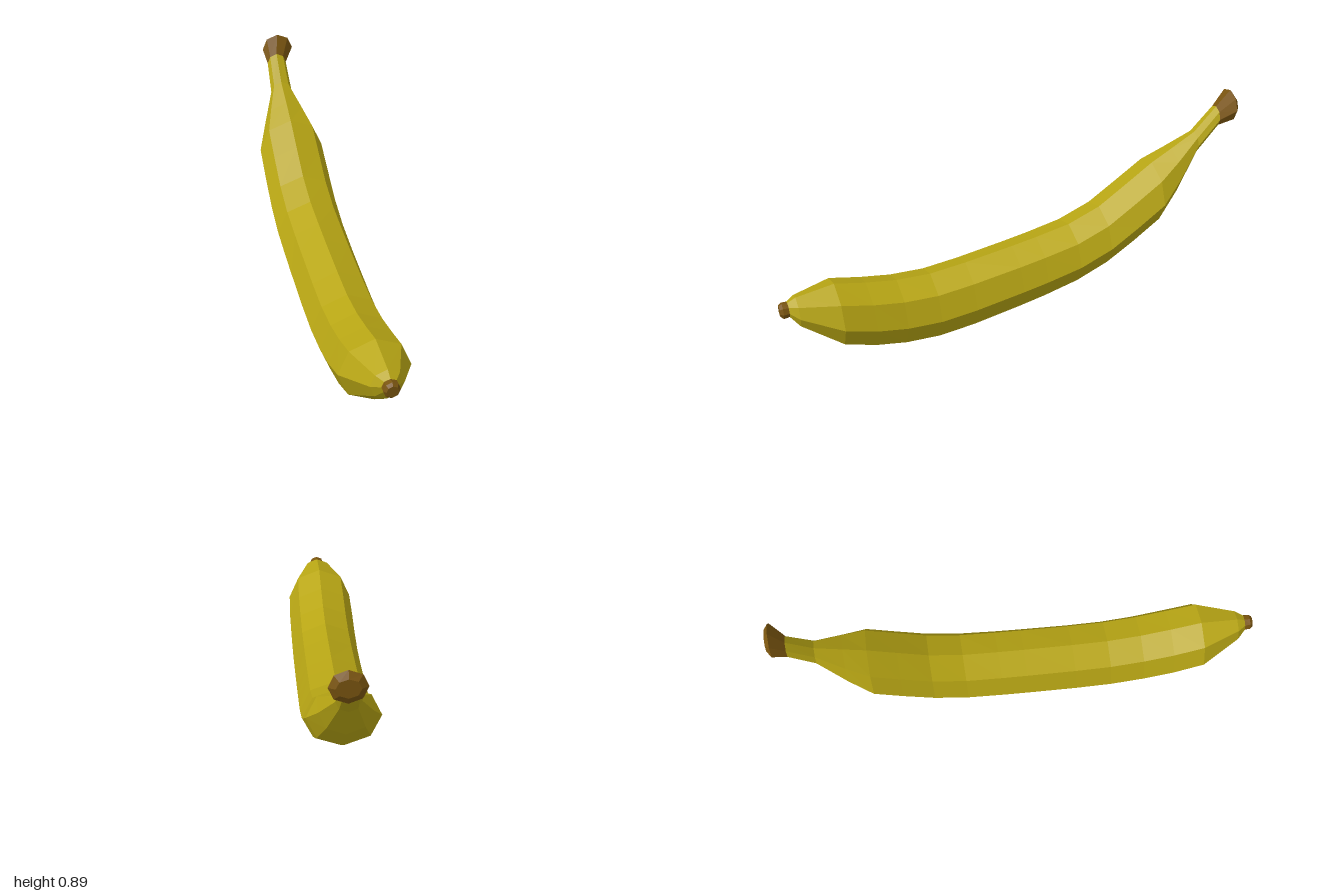
import * as THREE from 'three';

const SIDES = 8;

// Skin through octagonal rings [z, topY, bottomY, halfWidth, centreX], ordered front to back
function loft(rings, color, name, capFront, capBack) {
  const pos = [], index = [];
  for (const [z, top, bottom, halfWidth, cx = 0] of rings) {
    for (let i = 0; i < SIDES; i++) {
      const a = (i / SIDES) * Math.PI * 2;
      pos.push(cx + Math.cos(a) * halfWidth, (top + bottom) / 2 + (Math.sin(a) * (top - bottom)) / 2, z);
    }
  }
  for (let r = 0; r < rings.length - 1; r++) {
    for (let i = 0; i < SIDES; i++) {
      const j = (i + 1) % SIDES;
      const a = r * SIDES + i, b = r * SIDES + j;
      index.push(a, a + SIDES, b, b, a + SIDES, b + SIDES);
    }
  }
  // flat end caps
  const last = (rings.length - 1) * SIDES;
  for (let i = 1; i < SIDES - 1; i++) {
    if (capFront) index.push(0, i, i + 1);
    if (capBack) index.push(last, last + i + 1, last + i);
  }
  const geometry = new THREE.BufferGeometry();
  geometry.setAttribute('position', new THREE.Float32BufferAttribute(pos, 3));
  geometry.setIndex(index);
  geometry.computeVertexNormals();
  const mesh = new THREE.Mesh(geometry, new THREE.MeshStandardMaterial({ color, flatShading: true }));
  mesh.name = name;
  return mesh;
}

export function createModel() {
  const group = new THREE.Group();
  group.name = 'banana';
  const yellow = 0xb8a614, brown = 0x7a5510;

  // curved peel, from the blossom tip to the neck
  const peel = [
    [0.965, 0.313, 0.25, 0.033],
    [0.93, 0.33, 0.2, 0.066],
    [0.77, 0.355, 0.078, 0.143],
    [0.64, 0.325, 0.035, 0.147],
    [0.51, 0.303, 0.01, 0.147],
    [0.365, 0.296, 0.003, 0.147],
    [0.21, 0.312, 0.02, 0.147],
    [0, 0.342, 0.06, 0.147],
    [-0.11, 0.36, 0.084, 0.147],
    [-0.26, 0.389, 0.125, 0.147],
    [-0.4, 0.445, 0.185, 0.146],
    [-0.525, 0.53, 0.265, 0.145],
    [-0.64, 0.61, 0.347, 0.143],
    [-0.73, 0.66, 0.46, 0.102],
    [-0.835, 0.72, 0.63, 0.048],
    [-0.93, 0.823, 0.737, 0.043],
  ];
  group.add(loft(peel, yellow, 'peel', false, false));

  // dark blossom tip
  group.add(loft([
    [1.0, 0.305, 0.257, 0.024],
    [0.988, 0.315, 0.245, 0.033],
    [0.965, 0.313, 0.25, 0.033],
  ], brown, 'blossomTip', true, false));

  // flared stem end, leaning to one side
  group.add(loft([
    [-0.93, 0.823, 0.737, 0.043],
    [-0.982, 0.898, 0.764, 0.07, 0.015],
    [-1.0, 0.872, 0.796, 0.045, 0.015],
  ], brown, 'stemEnd', false, true));

  return group;
}
